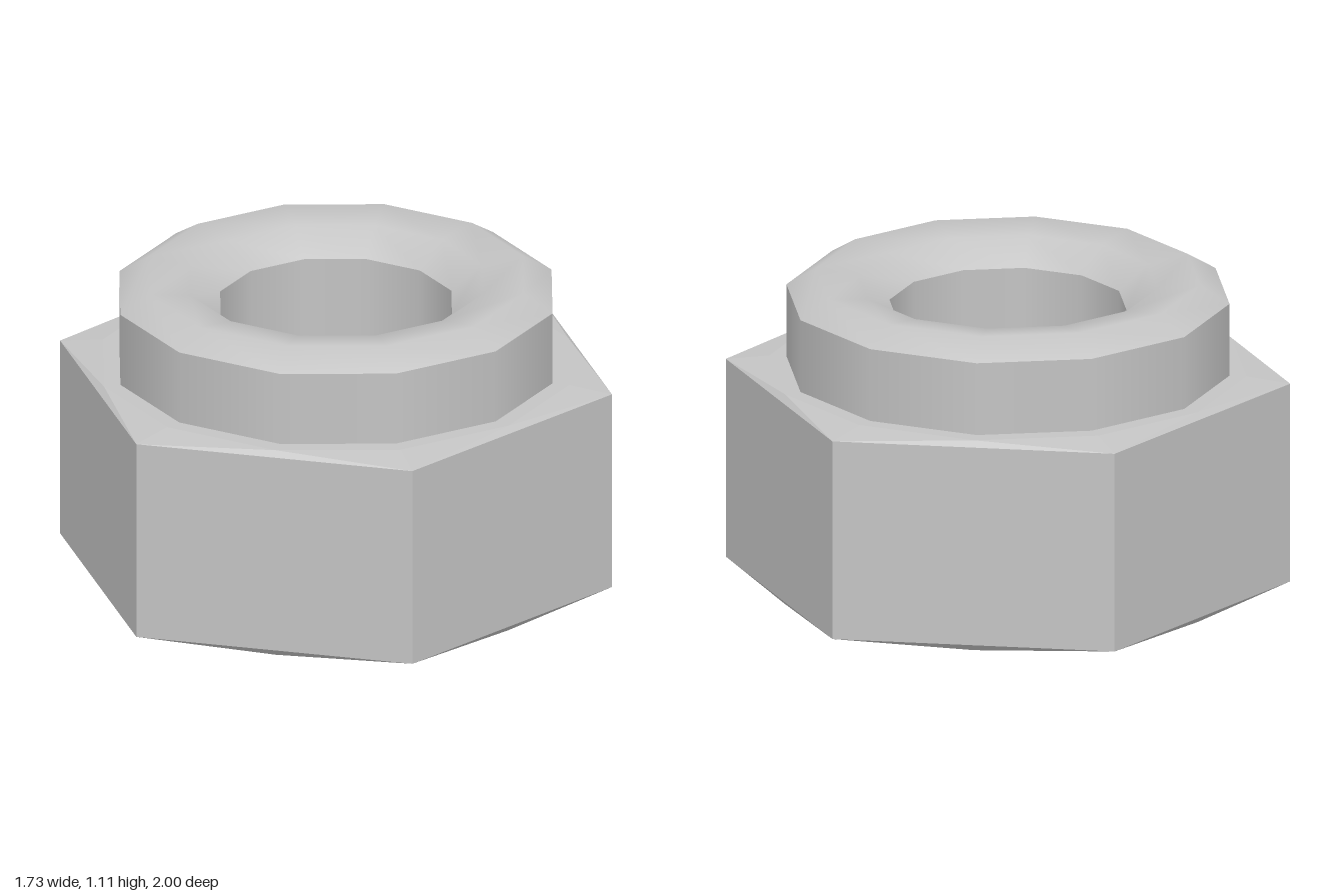
import * as THREE from 'three';

const SIDES = 12;
const HOLE = 0.42, CHAMFER = 0.845, COLLAR = 0.785;

// Point on a circle at a height, measured in steps of 30 degrees from +z
const at = (r, y, step) => {
  const a = (step * Math.PI) / 6;
  return [r * Math.sin(a), y, r * Math.cos(a)];
};

// Flat-faced hexagonal wall with corners chamfered towards a twelve-sided ring
function hexGeometry() {
  const pos = [];
  const tri = (a, b, c) => pos.push(...a, ...b, ...c);
  const low = 0.025, high = 0.755;
  for (let s = 0; s < SIDES; s += 2) {
    // wall
    tri(at(1, low, s), at(1, low, s + 2), at(1, high, s + 2));
    tri(at(1, low, s), at(1, high, s + 2), at(1, high, s));
    // top and bottom chamfers
    for (const [edge, ring, up] of [[high, 0.775, true], [low, 0, false]]) {
      const face = (a, b, c) => (up ? tri(a, b, c) : tri(a, c, b));
      const corner = at(1, edge, s);
      face(corner, at(1, edge, s + 2), at(CHAMFER, ring, s + 1));
      face(corner, at(CHAMFER, ring, s + 1), at(CHAMFER, ring, s));
      face(corner, at(CHAMFER, ring, s), at(CHAMFER, ring, s - 1));
    }
  }
  const g = new THREE.BufferGeometry();
  g.setAttribute('position', new THREE.Float32BufferAttribute(pos, 3));
  g.computeVertexNormals();
  return g;
}

export function createModel() {
  const group = new THREE.Group();
  group.name = 'lockNut';
  const steel = new THREE.MeshStandardMaterial({ color: 0xc4c4c4 });
  steel.name = 'steel';

  const add = (name, geometry) => {
    const mesh = new THREE.Mesh(geometry, steel);
    mesh.name = name;
    group.add(mesh);
  };
  const turned = (name, profile) =>
    add(name, new THREE.LatheGeometry(profile.map(([r, y]) => new THREE.Vector2(r, y)), SIDES));

  add('hexBody', hexGeometry());
  // Each turned surface is separate so the edges between them stay sharp
  turned('bottomFace', [[HOLE, 0], [CHAMFER, 0]]);
  turned('shoulder', [[CHAMFER, 0.775], [COLLAR, 0.775]]);
  turned('collarWall', [[COLLAR, 0.775], [COLLAR, 1.04]]);
  turned('collarLip', [[COLLAR, 1.04], [0.68, 1.105], [0.53, 1.085], [HOLE, 1.0]]);
  turned('bore', [[HOLE, 1.0], [HOLE, 0]]);
  return group;
}
